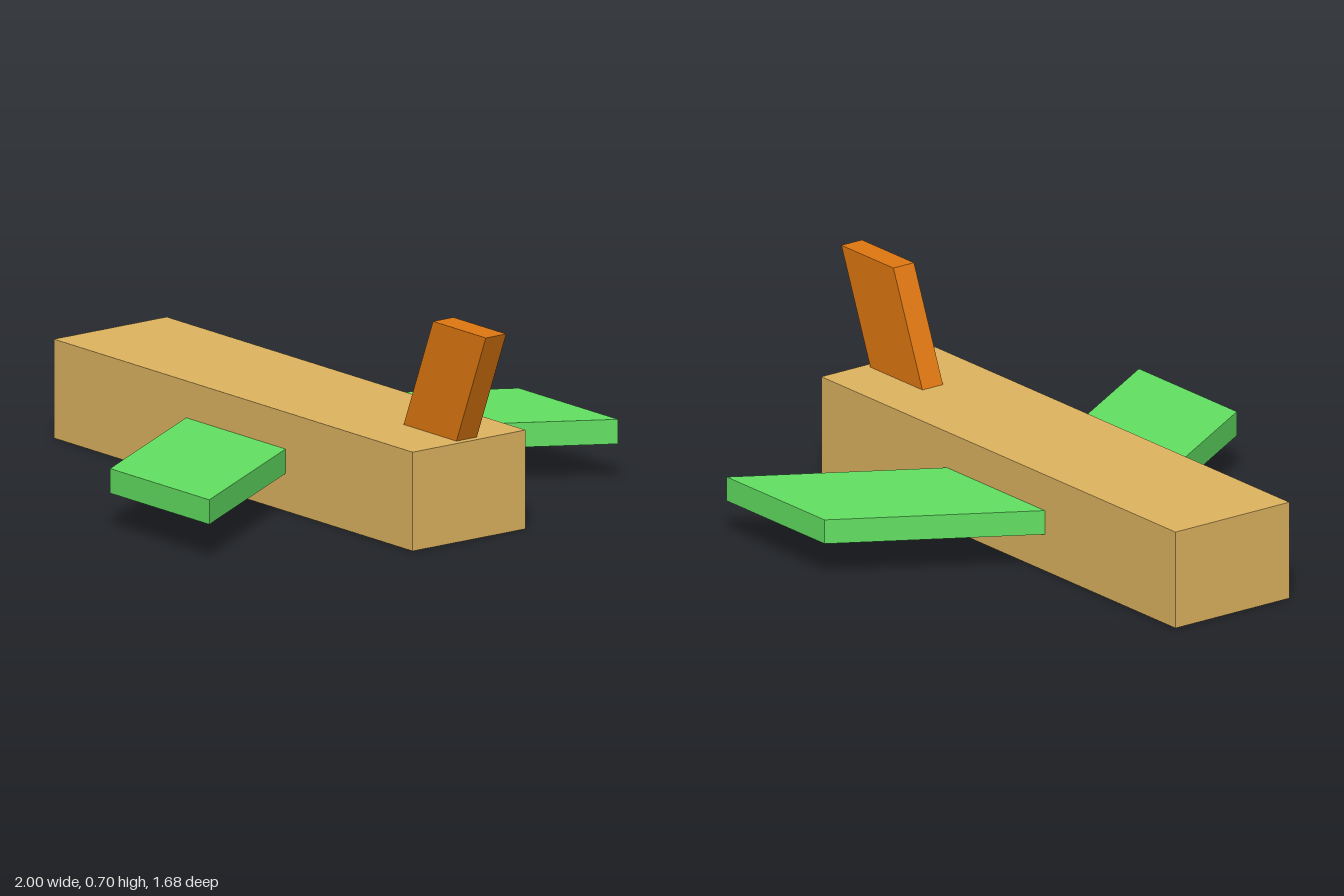
import * as THREE from 'three';

// Box between two corners, optionally sheared along x as it rises or goes outward
function slab(name, color, min, max, shear) {
  const size = max.map((v, i) => v - min[i]);
  const geo = new THREE.BoxGeometry(...size);
  geo.translate(...min.map((v, i) => v + size[i] / 2));
  if (shear) {
    const p = geo.attributes.position;
    for (let i = 0; i < p.count; i++) p.setX(i, p.getX(i) + shear(p.getY(i), p.getZ(i)));
    geo.computeVertexNormals();
  }
  const mesh = new THREE.Mesh(geo, new THREE.MeshStandardMaterial({ color, flatShading: true }));
  mesh.name = name;
  return mesh;
}

export function createModel() {
  const group = new THREE.Group();
  group.name = 'toyPlane';
  const wood = 0xdeb460, green = 0x62e062, orange = 0xe07810;
  const front = 0.24, back = -0.225, tip = 0.842, sweep = 0.365;

  // Fuselage, nose toward -x
  group.add(slab('fuselage', wood, [-1, 0, back], [0.87, 0.33, front]));

  // Swept wings, one on each side of the fuselage
  group.add(slab('frontWing', green, [-0.31, 0.125, front], [0.207, 0.207, tip],
    (y, z) => sweep * (z - front) / (tip - front)));
  group.add(slab('backWing', green, [-0.31, 0.125, -tip], [0.207, 0.207, back],
    (y, z) => sweep * (back - z) / (back + tip)));

  // Raked tail fin
  group.add(slab('tailFin', orange, [0.57, 0.33, -0.044], [0.845, 0.705, 0.04],
    (y) => 0.153 * (y - 0.33) / 0.375));

  return group;
}
